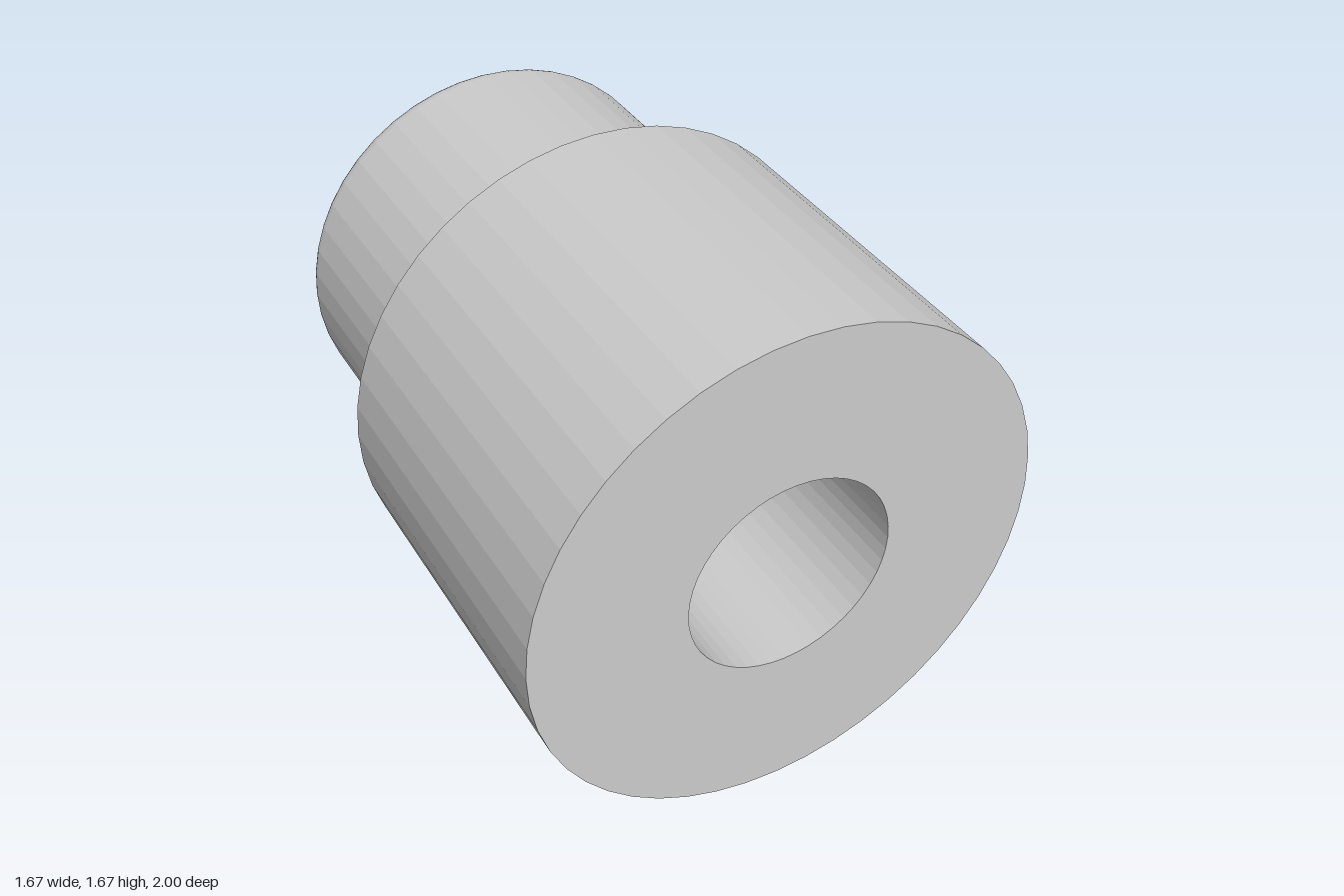
import * as THREE from 'three';

const SEGMENTS = 48;
const BODY_R = 0.8333, NECK_R = 0.6667, BORE_R = 0.3333;
const FRONT = 1, STEP = -0.1667, BACK = -1;
const RIM = 0.0667;                       // outer rounding of the mouth
const FLARE = NECK_R - RIM - BORE_R;      // trumpet rounding into the bore

const material = new THREE.MeshStandardMaterial({ color: 0xcccccc, flatShading: true });

// Points of a circular arc in the (radius, z) plane
function arc(r, z, radius, from, to, steps) {
  return Array.from({ length: steps + 1 }, (_, i) => {
    const a = from + (to - from) * i / steps;
    return new THREE.Vector2(r + radius * Math.cos(a), z + radius * Math.sin(a));
  });
}

// Turns a (radius, z) profile around the z axis
function turned(name, points) {
  const geometry = new THREE.LatheGeometry(points, SEGMENTS).rotateX(Math.PI / 2);
  const mesh = new THREE.Mesh(geometry, material);
  mesh.name = name;
  mesh.position.y = BODY_R;
  return mesh;
}

export function createModel() {
  const group = new THREE.Group();
  group.name = 'steppedBushing';
  const p = (r, z) => new THREE.Vector2(r, z);

  // Wide front sleeve: shoulder, outer wall, front face, bore
  group.add(turned('body', [
    p(NECK_R, STEP), p(BODY_R, STEP), p(BODY_R, FRONT), p(BORE_R, FRONT), p(BORE_R, STEP),
  ]));

  // Narrow rear neck: bore, flared mouth, rounded rim, outer wall
  group.add(turned('neck', [
    p(BORE_R, STEP),
    ...arc(BORE_R + FLARE, BACK + FLARE, FLARE, Math.PI, Math.PI * 1.5, 12),
    ...arc(NECK_R - RIM, BACK + RIM, RIM, Math.PI * 1.5, Math.PI * 2, 8).slice(1),
    p(NECK_R, STEP),
  ]));

  return group;
}
